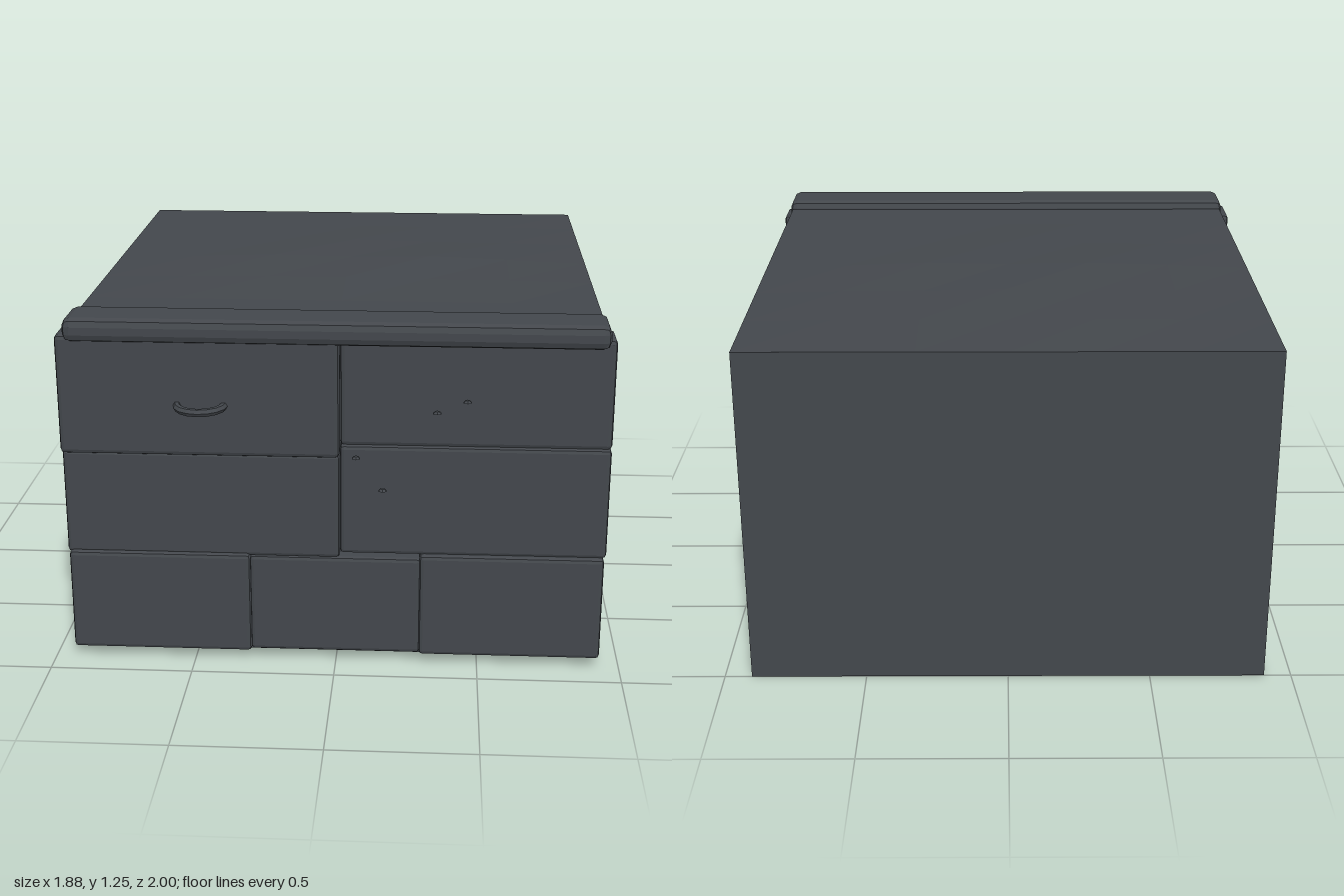
import * as THREE from 'three';
import { RoundedBoxGeometry } from 'three/addons/geometries/RoundedBoxGeometry.js';

const stone = new THREE.MeshStandardMaterial({ color: 0x43474c, flatShading: true });
const thinStone = new THREE.MeshStandardMaterial({ color: 0x43474c, flatShading: true, side: THREE.DoubleSide });

export function createModel() {
  const model = new THREE.Group();
  const add = (parent, name, geometry, material, x, y, z) => {
    const mesh = new THREE.Mesh(geometry, material);
    mesh.name = name;
    mesh.position.set(x, y, z);
    parent.add(mesh);
    return mesh;
  };

  // Hollow shell, open underneath
  const W = 1.81, H = 1.222, back = -1, front = 0.81;
  const D = front - back, midZ = (front + back) / 2;
  const shell = new THREE.Group();
  shell.name = 'shell';
  model.add(shell);
  add(shell, 'frontWall', new THREE.PlaneGeometry(W, H), thinStone, 0, H / 2, front);
  add(shell, 'backWall', new THREE.PlaneGeometry(W, H), thinStone, 0, H / 2, back).rotation.y = Math.PI;
  for (const s of [-1, 1]) {
    add(shell, s > 0 ? 'leftWall' : 'rightWall', new THREE.PlaneGeometry(D, H), thinStone, s * W / 2, H / 2, midZ)
      .rotation.y = s * Math.PI / 2;
  }

  // Roof swells gently towards the middle, with flat edges
  const roof = new THREE.PlaneGeometry(W, D, 6, 6).rotateX(-Math.PI / 2);
  const p = roof.attributes.position;
  for (let i = 0; i < p.count; i++) {
    const u = p.getX(i) / (W / 2), z = p.getZ(i) + midZ;
    const along = z > -0.05 ? 1 - (z + 0.05) / 0.5 : 1 - (-0.05 - z) / 0.95;
    const wobble = 0.8 + 0.2 * Math.sin(i * 2.3);
    p.setY(i, 0.026 * Math.max(0, along) * (1 - u * u) * wobble);
  }
  add(shell, 'roof', roof, thinStone, 0, H, midZ);

  // Chamfered facing blocks: name, x0, x1, y0, y1, z0, z1, chamfer
  const blocks = [
    ['topSlab', -0.915, 0.915, 1.172, 1.255, 0.73, 0.925, 0.028],
    ['upperRightBlock', -0.945, 0.015, 0.772, 1.195, 0.73, 0.907, 0.016],
    ['middleRightBlock', -0.943, 0.015, 0.395, 0.778, 0.73, 0.885, 0.014],
    ['upperLeftBlock', 0.015, 0.94, 0.805, 1.195, 0.725, 0.865, 0.016],
    ['middleLeftBlock', 0.015, 0.938, 0.41, 0.81, 0.725, 0.878, 0.014],
    ['lowerRightBlock', -0.935, -0.298, 0.035, 0.406, 0.73, 0.905, 0.014],
    ['lowerMiddleBlock', -0.302, 0.297, 0.035, 0.398, 0.73, 0.888, 0.014],
    ['lowerLeftBlock', 0.293, 0.93, 0.035, 0.415, 0.725, 0.9, 0.014],
  ];
  for (const [name, x0, x1, y0, y1, z0, z1, c] of blocks) {
    add(model, name, new RoundedBoxGeometry(x1 - x0, y1 - y0, z1 - z0, 1, c), stone,
      (x0 + x1) / 2, (y0 + y1) / 2, (z0 + z1) / 2);
  }

  // Half-ring handle, lying flat
  add(model, 'handle', new THREE.TorusGeometry(0.08, 0.014, 6, 8, Math.PI).rotateX(Math.PI / 2),
    stone, -0.455, 0.955, 0.902);

  // Small hexagonal studs in front of the blocks
  for (const [x, y] of [[0.075, 0.8], [0.165, 0.685], [0.345, 0.965], [0.445, 1.005]]) {
    add(model, 'stud', new THREE.CylinderGeometry(0.008, 0.016, 0.008, 6), stone, x, y, 0.96);
  }
  return model;
}
